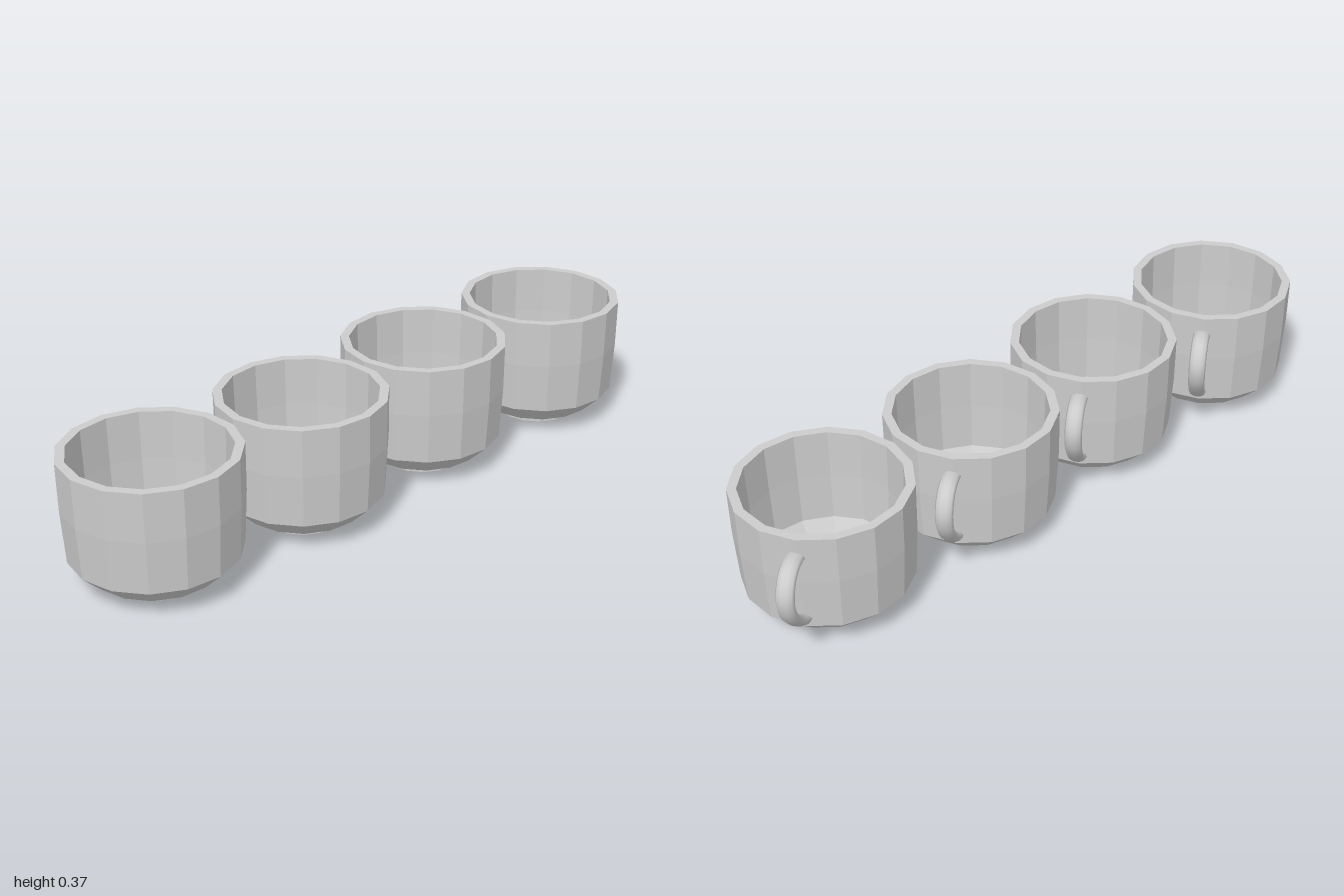
import * as THREE from 'three';

const SIDES = 15;
const HANDLE_ANGLE = THREE.MathUtils.degToRad(35);
const v2 = ([x, y]) => new THREE.Vector2(x, y);

// Closed cup section: foot, outer wall, rim, then down the inside to the floor
const cupProfile = [
  [0, 0], [0.119, 0], [0.119, 0.01], [0.171, 0.033], [0.228, 0.088],
  [0.236, 0.235], [0.237, 0.37],
  [0.212, 0.37], [0.209, 0.235], [0.202, 0.1], [0.16, 0.052], [0.107, 0.032], [0, 0.032],
].map(v2);

// Handle centre line: distance from the cup axis, height
const handlePath = [
  [0.215, 0.311], [0.245, 0.317], [0.278, 0.316], [0.308, 0.3], [0.328, 0.262],
  [0.322, 0.215], [0.29, 0.165], [0.25, 0.127], [0.214, 0.108],
].map(([x, y]) => new THREE.Vector3(x, y, 0));

export function createModel() {
  const bodyMaterial = new THREE.MeshStandardMaterial({ color: 0xcccccc, flatShading: true });
  const handleMaterial = new THREE.MeshStandardMaterial({ color: 0xcccccc });

  const bodyGeometry = new THREE.LatheGeometry(cupProfile, SIDES, -Math.PI / 2);

  // Strap-like handle: a round tube widened sideways
  const handleGeometry = new THREE.TubeGeometry(new THREE.CatmullRomCurve3(handlePath), 24, 0.015, 10);
  handleGeometry.scale(1, 1, 1.6);

  const model = new THREE.Group();
  model.name = 'cupRow';

  // Four cups in a slightly staggered row
  for (let i = 0; i < 4; i++) {
    const cup = new THREE.Group();
    cup.name = `cup${i + 1}`;

    const body = new THREE.Mesh(bodyGeometry, bodyMaterial);
    body.name = 'cupBody';

    const handle = new THREE.Mesh(handleGeometry, handleMaterial);
    handle.name = 'handle';
    handle.rotation.y = HANDLE_ANGLE;

    cup.add(body, handle);
    cup.position.set(-0.763 + i * 0.4885, 0, i % 2 ? 0.01 : -0.01);
    model.add(cup);
  }
  return model;
}
